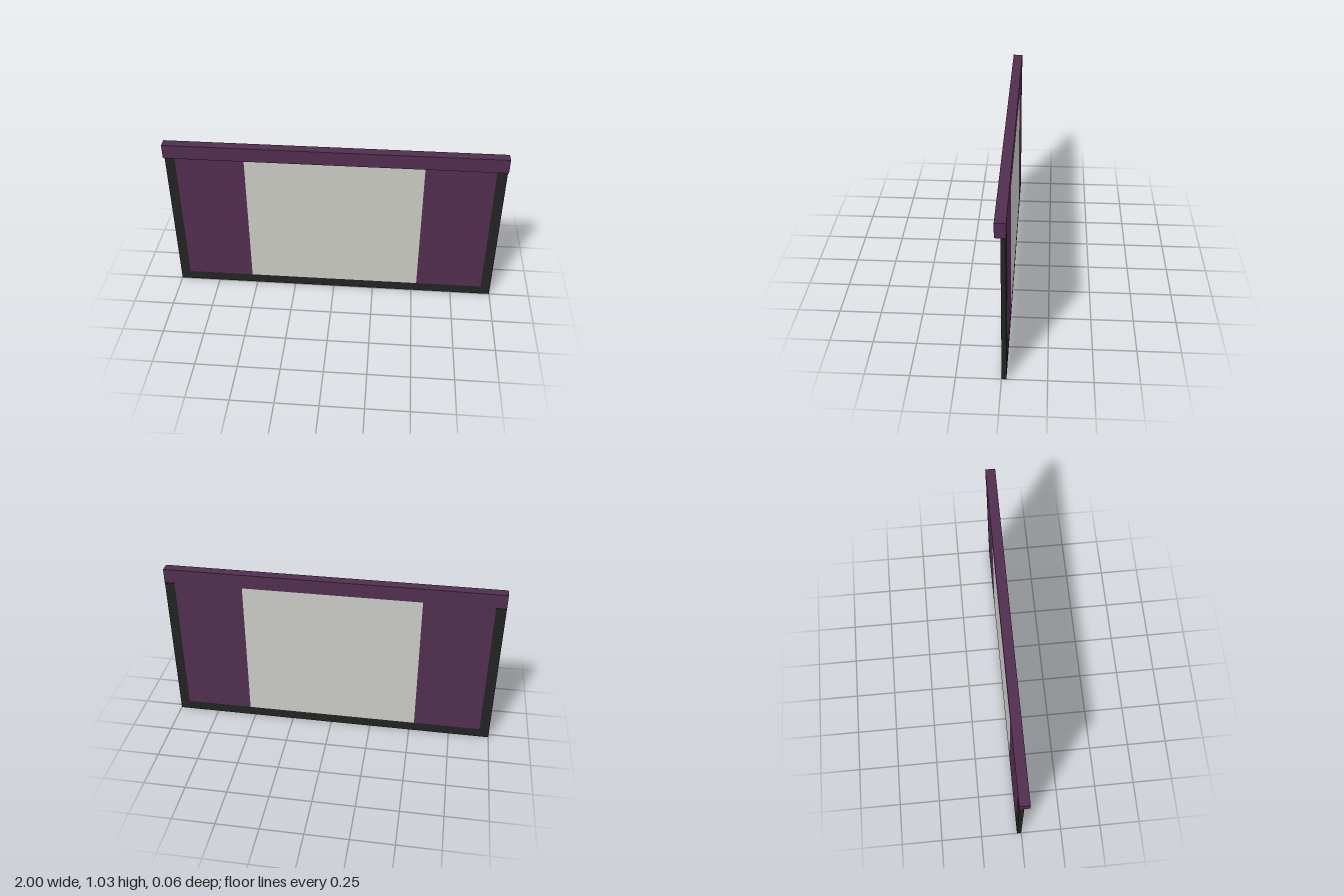
import * as THREE from 'three';

export function createModel() {
  const model = new THREE.Group();
  model.name = 'rollerScreen';

  const material = (name, color) => {
    const m = new THREE.MeshStandardMaterial({ color });
    m.name = name;
    return m;
  };
  const purple = material('plum', 0x512e4f);
  const black = material('charcoal', 0x232323);
  const grey = material('paleGrey', 0xcacac5);

  // Box given by its lower and upper limits on each axis
  const box = (name, mat, [x0, x1], [y0, y1], [z0, z1]) => {
    const mesh = new THREE.Mesh(new THREE.BoxGeometry(x1 - x0, y1 - y0, z1 - z0), mat);
    mesh.position.set((x0 + x1) / 2, (y0 + y1) / 2, (z0 + z1) / 2);
    mesh.name = name;
    model.add(mesh);
  };

  const frameZ = [-0.027, -0.001];
  const clothZ = [-0.029, 0.001];
  const clothY = [0.06, 0.943];

  // Top casing, flush with the cloth at the back
  box('topCasing', purple, [-1, 1], [0.943, 1.03], [-0.029, 0.03]);

  // Bottom bar
  box('bottomBar', black, [-1, 1], [0, 0.06], frameZ);

  // Side rails and the solid cloth beside the window
  for (const [side, s] of [['left', 1], ['right', -1]]) {
    const span = (a, b) => [Math.min(s * a, s * b), Math.max(s * a, s * b)];
    box(`${side}Rail`, black, span(0.94, 1), [0.06, 0.939], frameZ);
    box(`${side}Cloth`, purple, span(0.53, 0.94), clothY, clothZ);
  }

  // Pale centre window
  box('centreWindow', grey, [-0.53, 0.53], clothY, clothZ);

  return model;
}
